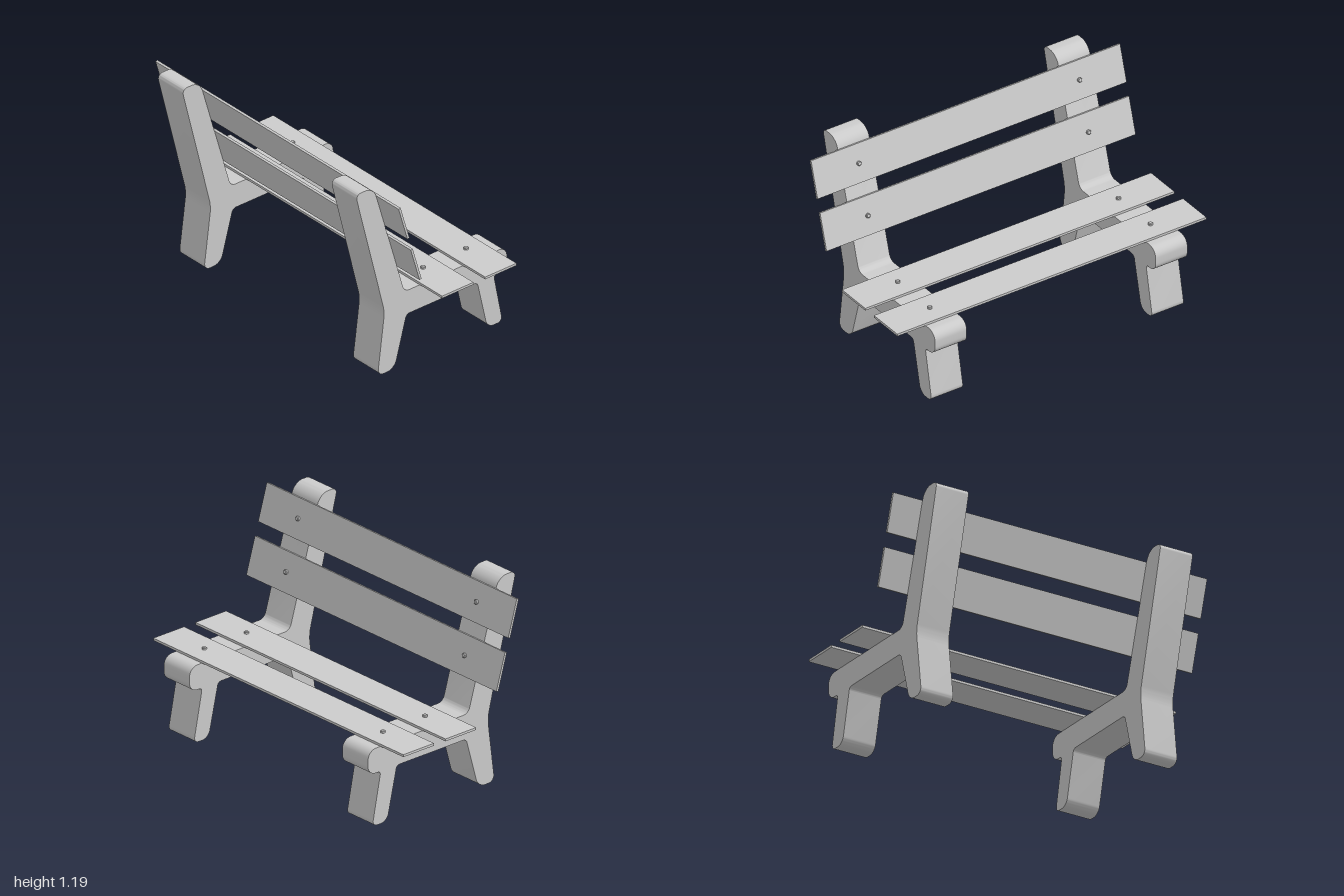
import * as THREE from 'three';
import { toCreasedNormals } from 'three/addons/utils/BufferGeometryUtils.js';

const POST_X = 0.714, POST_WIDTH = 0.205;
const SLAT_WIDTH = 0.22, SLAT_THICK = 0.014;

// Polygon of [x, y, cut] corners, each rounded off over the distance cut
function roundedShape(corners) {
  const shape = new THREE.Shape();
  const n = corners.length;
  const pts = corners.map(([x, y]) => new THREE.Vector2(x, y));
  const toward = (i, j, d) =>
    pts[j].clone().sub(pts[i]).setLength(d).add(pts[i]);
  for (let i = 0; i < n; i++) {
    const cut = corners[i][2], prev = (i + n - 1) % n, next = (i + 1) % n;
    const a = toward(i, prev, cut), b = toward(i, next, cut);
    const c1 = a.clone().lerp(pts[i], 0.56), c2 = b.clone().lerp(pts[i], 0.56);
    if (i === 0) shape.moveTo(a.x, a.y);
    else shape.lineTo(a.x, a.y);
    shape.bezierCurveTo(c1.x, c1.y, c2.x, c2.y, b.x, b.y);
  }
  shape.closePath();
  return shape;
}

// Side frame outline as [z, y, cut]
const FRAME = [
  [0.536, 1.19, 0.038],  // top of backrest
  [0.333, 0.383, 0.04],  // bend at the rear
  [0.382, 0, 0.043],     // rear foot
  [0.264, 0, 0.05],
  [0.179, 0.308, 0.022], // underside of seat
  [-0.318, 0.308, 0.02],
  [-0.388, 0, 0.044],    // front foot
  [-0.494, 0, 0.035],
  [-0.433, 0.308, 0.021],
  [-0.525, 0.308, 0.056], // seat nose
  [-0.525, 0.454, 0.058],
  [0.194, 0.454, 0.034], // seat meets backrest
  [0.411, 1.19, 0.058],
];

export function createModel() {
  const model = new THREE.Group();
  model.name = 'bench';
  const material = new THREE.MeshStandardMaterial({ color: 0xcccccc });

  const add = (parent, name, geometry, x = 0, y = 0, z = 0) => {
    const mesh = new THREE.Mesh(geometry, material);
    mesh.name = name;
    mesh.position.set(x, y, z);
    parent.add(mesh);
  };

  // Side frames: legs, seat rail and back post in one slab
  let frame = new THREE.ExtrudeGeometry(roundedShape(FRAME), {
    depth: POST_WIDTH, bevelEnabled: false, curveSegments: 10,
  });
  frame.translate(0, 0, -POST_WIDTH / 2).rotateY(-Math.PI / 2);
  frame = toCreasedNormals(frame, 0.6);
  add(model, 'leftFrame', frame, POST_X);
  add(model, 'rightFrame', frame, -POST_X);

  // Slats, each with a bolt head over both frames
  const slat = new THREE.BoxGeometry(2, SLAT_THICK, SLAT_WIDTH);
  const bolt = toCreasedNormals(new THREE.LatheGeometry(
    [[0.013, 0], [0.013, 0.009], [0.009, 0.013], [0, 0.013]]
      .map(([r, y]) => new THREE.Vector2(r, y)), 24), 0.5);

  const addSlat = (name, y, z, tilt) => {
    const group = new THREE.Group();
    group.name = name;
    group.position.set(0, y, z);
    group.rotation.x = tilt;
    add(group, name + 'Board', slat);
    for (const x of [POST_X, -POST_X])
      add(group, name + (x > 0 ? 'LeftBolt' : 'RightBolt'), bolt, x, SLAT_THICK / 2, 0);
    model.add(group);
  };

  const backTilt = -Math.PI / 2 + Math.atan(0.294);
  addSlat('frontSeatSlat', 0.461, -0.326, 0);
  addSlat('rearSeatSlat', 0.461, -0.024, 0);
  addSlat('lowerBackSlat', 0.738, 0.268, backTilt);
  addSlat('upperBackSlat', 1.026, 0.353, backTilt);

  return model;
}
